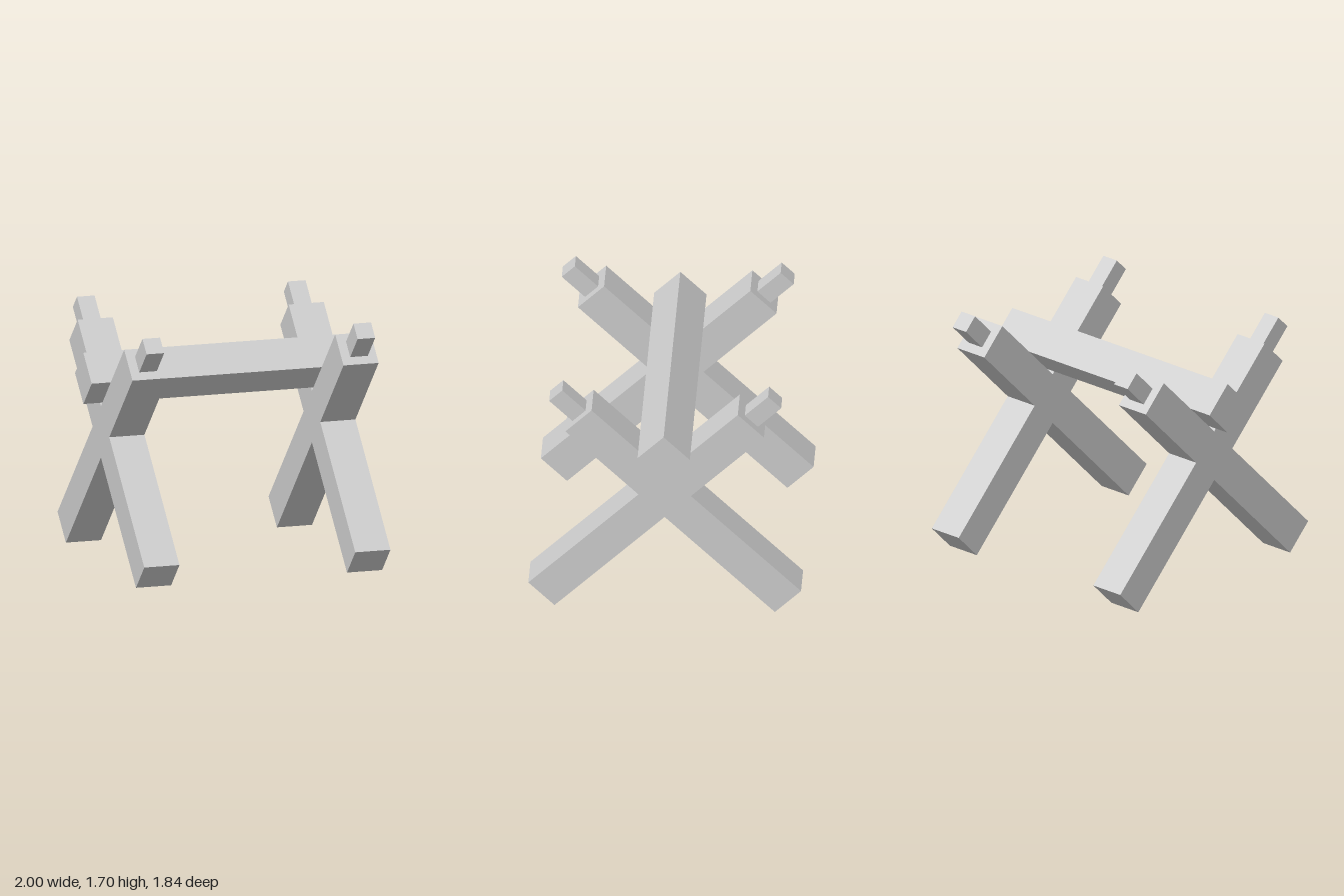
import * as THREE from 'three';

const BEAM = 0.25;       // square section of legs and rail
const CROSS_Y = 0.92;    // height where the legs cross
const UPPER = 0.823;     // arm length above the crossing
const LOWER = 1.177;     // arm length below the crossing
const PEG = 0.125;
const PEG_LENGTH = 0.222;

export function createModel() {
  const model = new THREE.Group();
  model.name = 'crossLegTrestle';
  const grey = new THREE.MeshStandardMaterial({ color: 0xcccccc });
  grey.name = 'plainGrey';

  // Plus-shaped outline, turned 45 degrees to make a pair of crossed legs
  const h = BEAM / 2;
  const outline = new THREE.Shape([
    [UPPER, -h], [UPPER, h], [h, h], [h, UPPER], [-h, UPPER], [-h, h],
    [-LOWER, h], [-LOWER, -h], [-h, -h], [-h, -LOWER], [h, -LOWER], [h, -h],
  ].map(([x, y]) => new THREE.Vector2(x, y)));
  const crossGeometry = new THREE.ExtrudeGeometry(outline, { depth: BEAM, bevelEnabled: false });
  crossGeometry.translate(0, 0, -h).rotateZ(Math.PI / 4).rotateY(Math.PI / 2);

  const pegGeometry = new THREE.BoxGeometry(PEG, PEG_LENGTH, PEG);
  pegGeometry.translate(0, UPPER + PEG_LENGTH / 2, 0);

  for (const side of [-1, 1]) {
    const frame = new THREE.Group();
    frame.name = side > 0 ? 'leftFrame' : 'rightFrame';
    frame.position.set(side * 0.75, CROSS_Y, 0);

    const legs = new THREE.Mesh(crossGeometry, grey);
    legs.name = 'crossedLegs';
    frame.add(legs);

    // Thin square pegs on the upper leg ends
    for (const end of [-1, 1]) {
      const peg = new THREE.Mesh(pegGeometry, grey);
      peg.name = end > 0 ? 'frontPeg' : 'backPeg';
      peg.rotation.x = end * Math.PI / 4;
      frame.add(peg);
    }
    model.add(frame);
  }

  // Rail resting on edge in the two crotches
  const rail = new THREE.Mesh(new THREE.BoxGeometry(2, BEAM, BEAM), grey);
  rail.name = 'rail';
  rail.rotation.x = Math.PI / 4;
  rail.position.y = 1.298;
  model.add(rail);

  return model;
}
